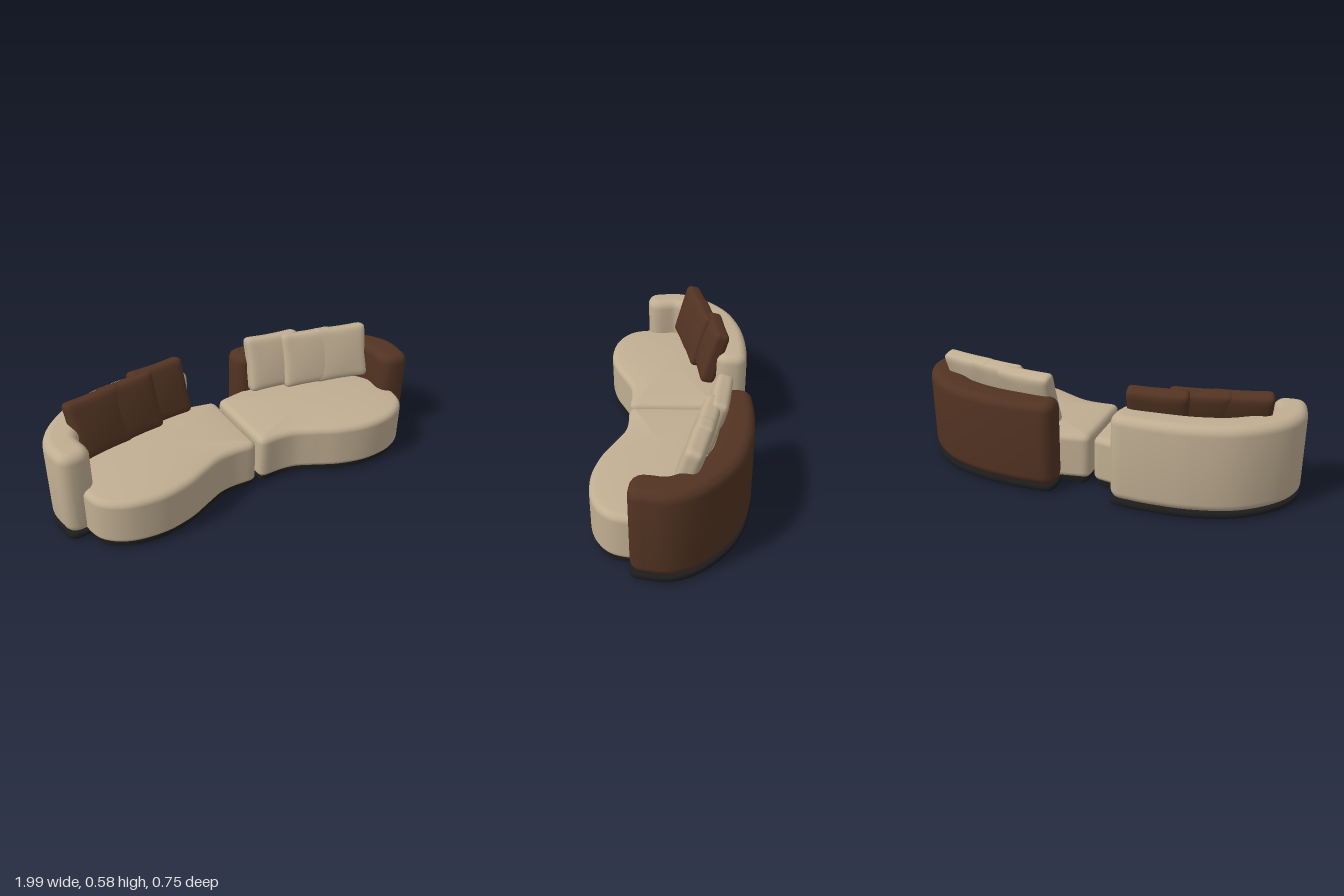
import * as THREE from 'three';
import { mergeVertices, toCreasedNormals } from 'three/addons/utils/BufferGeometryUtils.js';

const V = (x, z) => new THREE.Vector2(x, z);

// Plan outline of the wavy seat, s = +1 left module, -1 right module
function seatOutline(s) {
  const p = new THREE.Shape();
  p.moveTo(0.01, -0.18);
  p.lineTo(0.01, 0.2);
  p.quadraticCurveTo(0.01, 0.235, 0.05, 0.235);
  p.splineThru([[0.14, 0.233], [0.22, 0.246], [0.31, 0.287], [0.43, 0.342], [0.58, 0.373], [0.74, 0.355],
    [0.85, 0.285], [0.89, 0.18], [0.885, 0.03], [0.81, -0.11], [0.65, -0.21], [0.45, -0.26],
    [0.25, -0.255], [0.15, -0.24], [0.05, -0.222]].map(a => V(...a)));
  p.quadraticCurveTo(0.01, -0.217, 0.01, -0.18);
  const pts = p.getSpacedPoints(140).slice(0, -1).map(q => V(q.x * s, q.y));
  return THREE.ShapeUtils.area(pts) < 0 ? pts.reverse() : pts;
}

// Move a counter-clockwise outline inwards
function inset(pts, d) {
  const n = pts.length;
  return pts.map((p, i) => {
    const t = pts[(i + 1) % n].clone().sub(pts[(i + n - 1) % n]).normalize();
    return V(p.x - t.y * d, p.y + t.x * d);
  });
}

// Padded seat: stacked rings with rounded edges and a gently domed top
function seatGeometry(outline) {
  const rings = [], n = outline.length, c = V(outline.reduce((a, p) => a + p.x, 0) / n, 0.03);
  const arc = (r, y, a0, a1) => {
    for (let i = 0; i <= 5; i++) {
      const a = a0 + (a1 - a0) * i / 5;
      rings.push([inset(outline, r * (1 - Math.cos(a))), y + r * Math.sin(a)]);
    }
  };
  arc(0.025, 0.065, -Math.PI / 2, 0);
  arc(0.033, 0.24, 0, Math.PI / 2);
  const edge = rings[rings.length - 1][0];
  for (const [k, y] of [[0.12, 0.279], [0.35, 0.285], [0.65, 0.289], [1, 0.291]])
    rings.push([edge.map(p => p.clone().lerp(c, k)), y]);
  const pos = [], idx = [];
  rings.forEach(([ring, y]) => ring.forEach(p => pos.push(p.x, y, p.y)));
  for (let r = 0; r < rings.length - 1; r++)
    for (let i = 0; i < n; i++) {
      const a = r * n + i, b = r * n + (i + 1) % n;
      idx.push(a, a + n, b);
      if (r < rings.length - 2) idx.push(b, a + n, b + n);
    }
  const g = new THREE.BufferGeometry();
  g.setAttribute('position', new THREE.Float32BufferAttribute(pos, 3));
  g.setIndex(idx);
  const merged = mergeVertices(g);
  merged.computeVertexNormals();
  return merged;
}

// Curved band with soft ends that wraps the back and outer side
function bandOutline(s, half, cap) {
  const curve = new THREE.SplineCurve([[0.22, -0.293], [0.35, -0.296], [0.53, -0.279], [0.71, -0.222],
    [0.85, -0.112], [0.914, 0.0], [0.905, 0.1]].map(a => V(a[0] * s, a[1])));
  const N = 48, left = [], right = [];
  for (let i = 0; i <= N; i++) {
    const p = curve.getPointAt(i / N), t = curve.getTangentAt(i / N);
    left.push(V(p.x - t.y * half, p.y + t.x * half));
    right.push(V(p.x + t.y * half, p.y - t.x * half));
  }
  const end = (u, dir) => {
    const p = curve.getPointAt(u), t = curve.getTangentAt(u).multiplyScalar(dir), out = [];
    for (let i = 1; i < 10; i++) {
      const a = Math.PI * (0.5 - i / 10);
      const w = half * Math.sign(Math.sin(a)) * Math.sqrt(Math.abs(Math.sin(a)));
      const l = cap * Math.sqrt(Math.cos(a));
      out.push(V(p.x - t.y * w + t.x * l, p.y + t.x * w + t.y * l));
    }
    return out;
  };
  return [...left, ...end(1, 1), ...right.reverse(), ...end(0, -1)];
}

// Upright slab from a plan outline, with rounded edges growing outwards
function slab(outline, y0, y1, size, thick, segments) {
  const g = new THREE.ExtrudeGeometry(new THREE.Shape(outline), {
    depth: y1 - y0 - 2 * thick, bevelEnabled: true, bevelSize: size, bevelThickness: thick, bevelSegments: segments,
  });
  g.rotateX(Math.PI / 2).translate(0, y1 - thick, 0);
  return toCreasedNormals(g, 0.7);
}

// Plump cushion: rounded box with bulged faces and slightly pulled-in sides
function cushionGeometry(w, h, d) {
  const r = 0.028, g = new THREE.BoxGeometry(w, h, d, 18, 18, 8);
  const p = g.attributes.position, v = new THREE.Vector3(), core = new THREE.Vector3();
  const lim = new THREE.Vector3(w / 2 - r, h / 2 - r, d / 2 - r);
  for (let i = 0; i < p.count; i++) {
    v.fromBufferAttribute(p, i);
    core.copy(v).clamp(lim.clone().negate(), lim);
    v.sub(core).normalize().multiplyScalar(r).add(core);
    const u = 2 * v.x / w, t = 2 * v.y / h;
    v.z *= 0.84 + 0.24 * (1 - u * u) * (1 - t * t);
    v.x *= 1 - 0.03 * (1 - t * t);
    v.y *= 1 - 0.04 * (1 - u * u);
    p.setXYZ(i, v.x, v.y, v.z);
  }
  g.deleteAttribute('uv');
  g.deleteAttribute('normal');
  const m = mergeVertices(g, 1e-5);
  m.computeVertexNormals();
  return m;
}

export function createModel() {
  const material = (name, color) => new THREE.MeshStandardMaterial({ name, color });
  const beige = material('beige fabric', 0xc0ae92);
  const brown = material('brown fabric', 0x523322);
  const black = material('black base', 0x1c1c1c);

  const model = new THREE.Group();
  model.name = 'curvedSofa';
  const cushion = cushionGeometry(0.3, 0.295, 0.095);

  for (const s of [1, -1]) {
    const module = new THREE.Group();
    module.name = s > 0 ? 'leftModule' : 'rightModule';
    model.add(module);
    const add = (name, geometry, mat) => {
      const mesh = new THREE.Mesh(geometry, mat);
      mesh.name = name;
      module.add(mesh);
      return mesh;
    };

    // Seat and wrap-around backrest
    const outline = seatOutline(s);
    add('seat', seatGeometry(outline), beige);
    add('backrest', slab(bandOutline(s, 0.035, 0.03), 0.04, 0.475, 0.045, 0.045, 6), s > 0 ? brown : beige);

    // Plinth below the seat and backrest
    add('seatBase', slab(inset(outline, 0.018), 0.012, 0.042, 0.004, 0.003, 1), black);
    add('backrestBase', slab(bandOutline(s, 0.071, 0.066), 0.014, 0.043, 0.009, 0.009, 3), black);

    // Low feet
    for (const [x, z] of [[0.07, -0.18], [0.07, 0.1], [0.41, -0.29], [0.5, 0.125], [0.76, -0.18], [0.93, 0.07]])
      add('foot', new THREE.CylinderGeometry(0.022, 0.022, 0.016, 20), black).position.set(x * s, 0.008, z);

    // Three overlapping cushions leaning on the backrest
    for (const [x, z, yaw] of [[0.335, -0.187, 0.13], [0.52, -0.125, 0.19], [0.7, -0.085, 0.22]]) {
      const c = add('cushion', cushion, s > 0 ? beige : brown);
      c.position.set(x * s, 0.438, z);
      c.rotation.set(-0.3, -yaw * s, 0, 'YXZ');
    }
  }
  return model;
}
